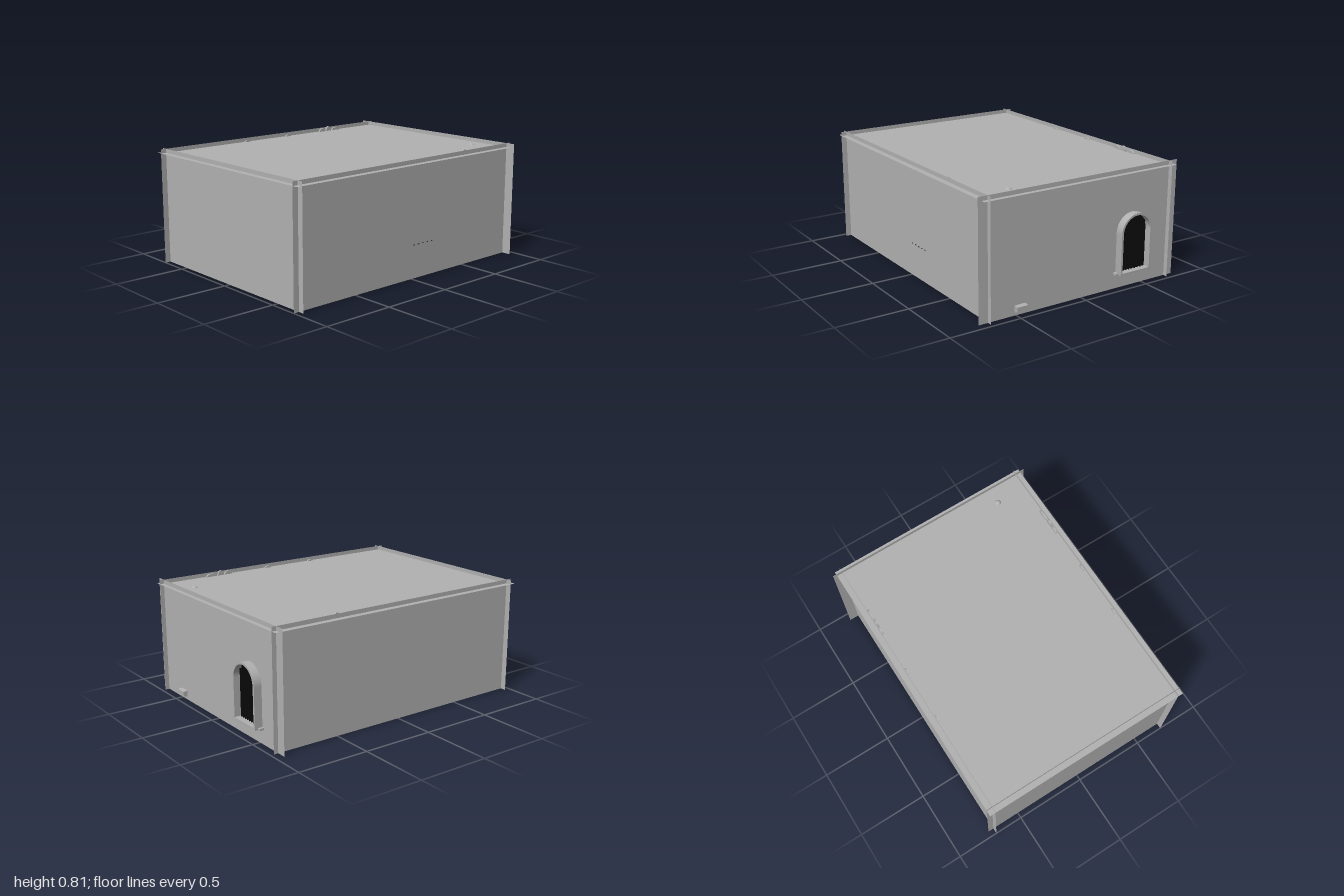
import * as THREE from 'three';

export function createModel() {
  const model = new THREE.Group();
  model.name = 'room';
  const mat = (name, color, side = THREE.FrontSide) => {
    const m = new THREE.MeshStandardMaterial({ color, side });
    m.name = name;
    return m;
  };
  const plaster = mat('grey plaster', 0xb2b2b2, THREE.DoubleSide);
  const stone = mat('grey stone', 0xb0b0b0);
  const black = mat('black grille', 0x0a0a0a, THREE.DoubleSide);
  const teal = mat('teal tile', 0x1f7a6c);
  const dark = mat('dark joint', 0x3a3a3a);

  const add = (name, geometry, material, x = 0, y = 0, z = 0) => {
    const mesh = new THREE.Mesh(geometry, material);
    mesh.name = name;
    mesh.position.set(x, y, z);
    model.add(mesh);
    return mesh;
  };
  const box = (name, w, h, d, material, x, y, z) =>
    add(name, new THREE.BoxGeometry(w, h, d), material, x, y, z);

  // Shell of thin panels that cross one another at the corners
  const H = 0.8, SIDE = 0.703, FRONT = 0.96, BACK = -0.945, FLOOR = 0.025, CEIL = 0.772;
  add('frontWall', new THREE.PlaneGeometry(1.486, H), plaster, 0, H / 2, FRONT);
  add('backWall', new THREE.PlaneGeometry(1.54, H), plaster, 0, H / 2, BACK);
  for (const s of [-1, 1]) {
    add('sideWall', new THREE.PlaneGeometry(1.976, H), plaster, s * SIDE, H / 2, 0.012)
      .rotation.y = s * Math.PI / 2;
  }
  add('ceiling', new THREE.PlaneGeometry(1.486, 1.976), plaster, 0, CEIL, 0.012)
    .rotation.x = -Math.PI / 2;
  add('floor', new THREE.PlaneGeometry(SIDE * 2, FRONT - BACK), plaster, 0, FLOOR, (FRONT + BACK) / 2)
    .rotation.x = Math.PI / 2;

  // Arched window at the back: surround, grille and sill
  const arch = (r, bottom) => {
    const p = new THREE.Shape();
    p.moveTo(-r, bottom);
    p.lineTo(r, bottom);
    p.lineTo(r, 0.38);
    p.absarc(0, 0.38, r, 0, Math.PI, false);
    p.lineTo(-r, bottom);
    return p;
  };
  const WX = -0.405;
  const surround = arch(0.126, 0.1);
  surround.holes.push(arch(0.112, 0.115));
  add('windowSurround', new THREE.ExtrudeGeometry(surround, {
    depth: BACK + 1, bevelEnabled: false, curveSegments: 24,
  }), stone, WX, 0, -1);
  add('windowPane', new THREE.ShapeGeometry(arch(0.113, 0.112), 24), black, WX, 0, BACK - 0.006);
  for (let i = -4; i <= 4; i++) {
    const x = i * 0.024;
    const h = 0.38 + Math.sqrt(0.112 ** 2 - x ** 2) - 0.115;
    box('grilleBar', 0.006, h, 0.008, black, WX + x, 0.115 + h / 2, BACK - 0.012);
  }
  box('windowSill', 0.29, 0.014, 0.032, stone, WX, 0.107, BACK - 0.016);

  // Small wedge spout low on the back wall
  const wedge = new THREE.Shape([
    new THREE.Vector2(0, 0), new THREE.Vector2(0.03, 0.01),
    new THREE.Vector2(0.03, 0.04), new THREE.Vector2(0, 0.045),
  ]);
  add('spout', new THREE.ExtrudeGeometry(wedge, { depth: 0.08, bevelEnabled: false }),
    stone, 0.43, 0.022, BACK).rotation.y = Math.PI / 2;

  // Round basin showing through the floor, with joints and tile border
  const CZ = -0.3;
  add('basin', new THREE.CylinderGeometry(0.48, 0.48, 0.02, 64), stone, 0, 0.015, CZ);
  const ringItem = (name, r, angle, w, d, material) =>
    box(name, w, 0.003, d, material, r * Math.sin(angle), 0.0045, CZ + r * Math.cos(angle))
      .rotation.y = angle;
  for (let i = 0; i < 40; i++) {
    const a = i * Math.PI / 20;
    ringItem('basinJoint', 0.447, a, 0.004, 0.055, dark);
    ringItem('tileOuter', 0.415, a, 0.04, 0.006, teal);
    if (i % 2) ringItem('tileInner', 0.385, a, 0.035, 0.006, teal);
  }
  const band = (r, w) => add('basinBand', new THREE.RingGeometry(r, r + w, 64), dark, 0, 0.0045, CZ)
    .rotation.x = Math.PI / 2;
  band(0.476, 0.004);
  band(0.418, 0.003);
  band(0.378, 0.003);

  // Ornament tips rising through the ceiling along both sides
  const tips = [[-0.575, 0.08, 0.02], [-0.5, 0.05, 0.034], [-0.44, 0.06, 0.025],
    [-0.1, 0.045, 0.013], [0.28, 0.045, 0.01]];
  for (const s of [-1, 1]) {
    for (const [z, length, height] of tips) {
      const tip = add('ornamentTip',
        new THREE.CylinderGeometry(1, 1, 0.014, 12, 1, false, 0, Math.PI),
        plaster, s * 0.692, CEIL, z);
      tip.rotation.z = Math.PI / 2;
      tip.scale.set(height, 1, length / 2);
    }
  }
  add('ceilingKnob', new THREE.SphereGeometry(0.025, 16, 8, 0, Math.PI * 2, 0, Math.PI / 2),
    stone, 0.48, CEIL - 0.012, -0.83);

  // Row of small pegs through the left wall
  for (let i = 0; i < 5; i++) {
    box('wallPeg', 0.006, 0.006, 0.012, dark, SIDE, 0.23, -0.02 - i * 0.042);
  }
  return model;
}
